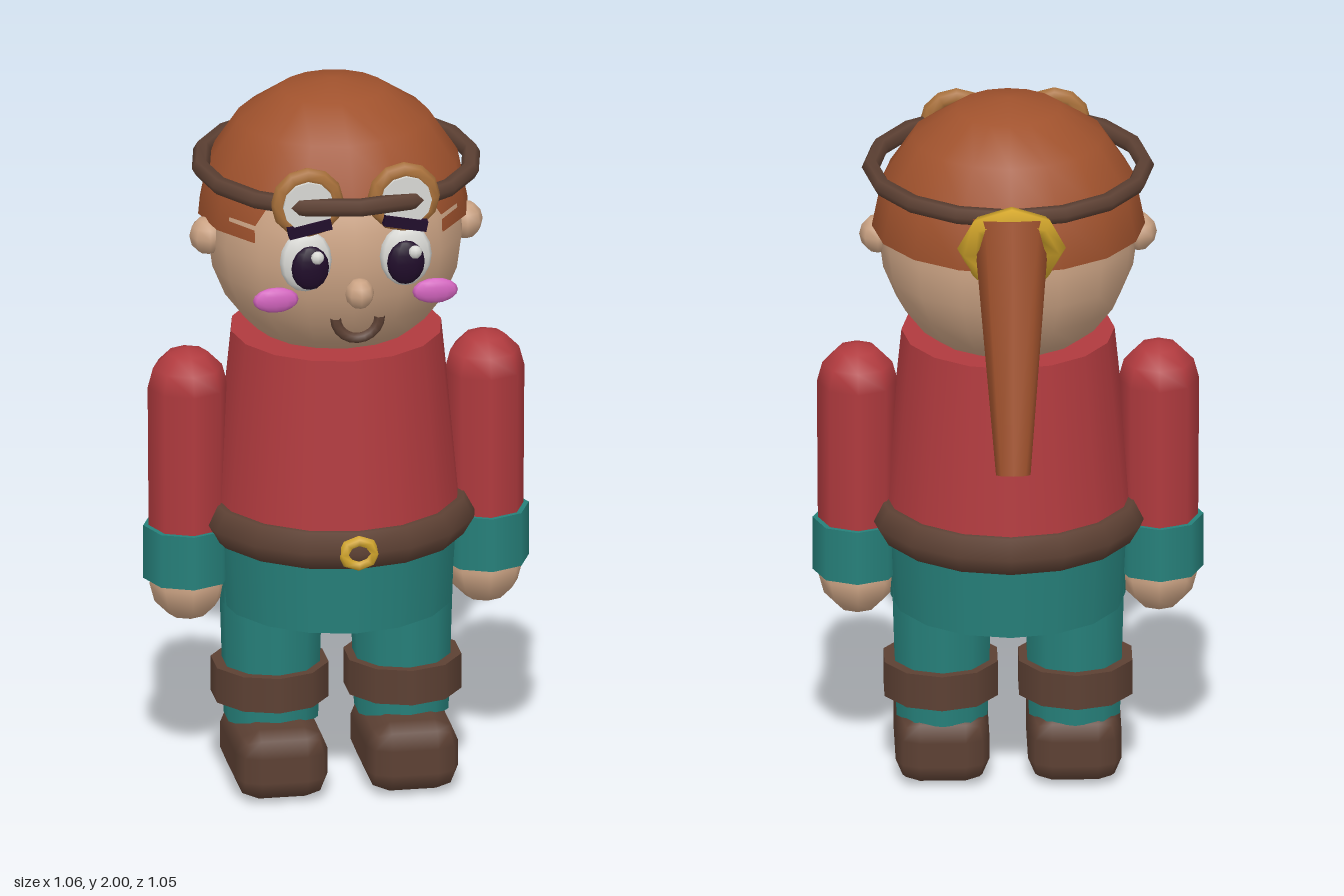
import * as THREE from 'three';
import { RoundedBoxGeometry } from 'three/addons/geometries/RoundedBoxGeometry.js';

const COLORS = {
  skin: 0xcaa283, hair: 0xa0522d, shirtRed: 0xb03a3e, teal: 0x26807a, leather: 0x5c4033,
  dark: 0x200c2a, white: 0xd8d8d4, gold: 0xd4a72c, rim: 0xa8703a, pink: 0xd264be,
};

export function createModel() {
  const model = new THREE.Group();
  model.name = 'character';
  const mats = {};
  for (const [name, color] of Object.entries(COLORS)) {
    mats[name] = new THREE.MeshStandardMaterial({ color });
    mats[name].name = name;
  }

  const add = (name, geometry, mat, x, y, z, rx = 0, rz = 0) => {
    const mesh = new THREE.Mesh(geometry, mats[mat]);
    mesh.name = name;
    mesh.position.set(x, y, z);
    mesh.rotation.set(rx, 0, rz);
    model.add(mesh);
    return mesh;
  };
  const ball = (rx, ry, rz, w = 12, h = 8) => new THREE.SphereGeometry(1, w, h).scale(rx, ry, rz);
  // Cylinder given by its bottom and top heights
  const tube = (name, mat, rTop, rBottom, y0, y1, sides, x, z = 0.11) =>
    add(name, new THREE.CylinderGeometry(rTop, rBottom, y1 - y0, sides), mat, x, (y0 + y1) / 2, z);

  // Body
  tube('torso', 'shirtRed', 0.29, 0.345, 0.75, 1.3, 16, 0);
  tube('hips', 'teal', 0.335, 0.32, 0.52, 0.76, 16, 0);
  add('belt', new THREE.TorusGeometry(0.325, 0.06, 6, 16), 'leather', 0, 0.772, 0.11, Math.PI / 2);
  add('beltBuckle', new THREE.TorusGeometry(0.035, 0.016, 6, 8).scale(1.15, 1, 1), 'gold', 0, 0.77, 0.475);

  // Head, hair cap and nose
  add('head', ball(0.352, 0.352, 0.335, 16, 12), 'skin', 0, 1.58, 0.1);
  const cap = new THREE.SphereGeometry(0.372, 16, 4, 0, Math.PI * 2, 0, Math.PI / 2).scale(1, 1, 0.95);
  add('hairCap', cap, 'hair', 0, 1.628, 0.06);
  mats.hair.side = THREE.DoubleSide;
  add('nose', ball(0.04, 0.043, 0.04, 8, 6), 'skin', 0, 1.53, 0.487);
  add('mouth', new THREE.TorusGeometry(0.061, 0.015, 6, 10, Math.PI), 'leather', 0, 1.45, 0.455, 0, Math.PI);

  // Ponytail and its tie
  const tail = new THREE.CylinderGeometry(0.105, 0.047, 0.7, 8);
  add('ponytail', tail, 'hair', 0, 1.447, -0.377, 0.3);
  add('hairTie', new THREE.TorusGeometry(0.115, 0.033, 6, 8), 'gold', 0, 1.7, -0.285, -0.4);

  // Headband of the goggles
  add('goggleStrap', new THREE.TorusGeometry(0.373, 0.025, 6, 16), 'leather', 0, 1.778, 0.11, Math.PI / 2);

  for (const s of [1, -1]) {
    const side = s > 0 ? 'left' : 'right';

    // Face
    add(side + 'Ear', ball(0.05, 0.053, 0.053, 8, 6), 'skin', s * 0.355, 1.583, 0.11);
    add(side + 'EyeWhite', ball(0.072, 0.088, 0.03), 'white', s * 0.138, 1.61, 0.425);
    add(side + 'Pupil', ball(0.052, 0.063, 0.022), 'dark', s * 0.132, 1.603, 0.462);
    add(side + 'EyeGlint', ball(0.019, 0.019, 0.014, 8, 6), 'white', s * 0.135 + 0.02, 1.637, 0.478);
    add(side + 'Eyebrow', new THREE.BoxGeometry(0.12, 0.03, 0.03), 'dark', s * 0.132, 1.715, 0.45, 0, -s * 0.2);
    add(side + 'Cheek', ball(0.063, 0.036, 0.018), 'pink', s * 0.22, 1.5, 0.42);

    // Goggles
    add(side + 'GoggleRim', new THREE.TorusGeometry(0.076, 0.025, 8, 12), 'rim', s * 0.133, 1.778, 0.42);
    add(side + 'GoggleLens', new THREE.CylinderGeometry(0.07, 0.07, 0.01, 12), 'white', s * 0.135, 1.778, 0.452, Math.PI / 2);

    // Arm
    add(side + 'Shoulder', ball(0.11, 0.11, 0.11, 8, 6), 'shirtRed', s * 0.41, 1.15, 0.11);
    tube(side + 'Sleeve', 'shirtRed', 0.11, 0.107, 0.7, 1.15, 8, s * 0.41);
    tube(side + 'SleeveCuff', 'teal', 0.12, 0.12, 0.597, 0.75, 8, s * 0.412);
    add(side + 'Hand', ball(0.105, 0.105, 0.105, 8, 6), 'skin', s * 0.41, 0.58, 0.11);

    // Leg
    tube(side + 'Leg', 'teal', 0.142, 0.13, 0.18, 0.57, 10, s * 0.18);
    tube(side + 'BootBand', 'leather', 0.162, 0.162, 0.24, 0.34, 10, s * 0.183);
    add(side + 'Shoe', new RoundedBoxGeometry(0.255, 0.2, 0.376, 1, 0.065), 'leather', s * 0.18, 0.1, 0.158);
  }
  return model;
}
